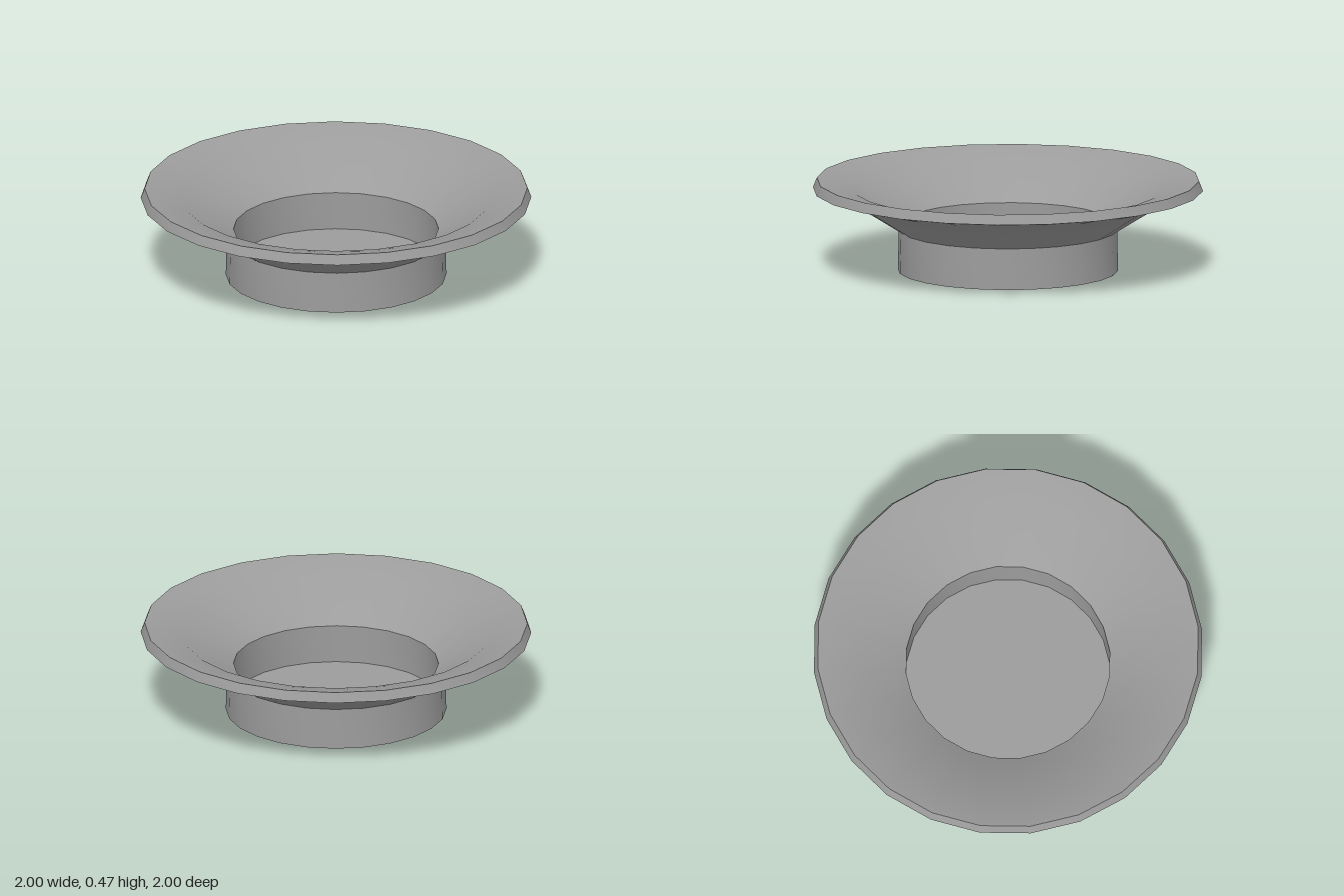
import * as THREE from 'three';
import { toCreasedNormals } from 'three/addons/utils/BufferGeometryUtils.js';

export function createModel() {
  const model = new THREE.Group();
  model.name = 'flaredDish';

  // Closed profile: underside, foot, flare, rim, then back down the inside
  const profile = [
    [0, 0], [0.565, 0], [0.56, 0.213],     // foot
    [0.81, 0.372], [1, 0.42],              // underside of the flare
    [0.98, 0.47],                          // slanted rim
    [0.79, 0.42], [0.525, 0.25],           // inside of the flare
    [0.525, 0.053], [0, 0.053],            // well and its floor
  ].map(([r, y]) => new THREE.Vector2(r, y));

  // Smooth around the dish, sharp at the foot, rim and well
  const geometry = toCreasedNormals(new THREE.LatheGeometry(profile, 24), THREE.MathUtils.degToRad(28));
  const dish = new THREE.Mesh(geometry, new THREE.MeshStandardMaterial({ color: 0x9c9c9c }));
  dish.name = 'dish';
  model.add(dish);

  return model;
}
